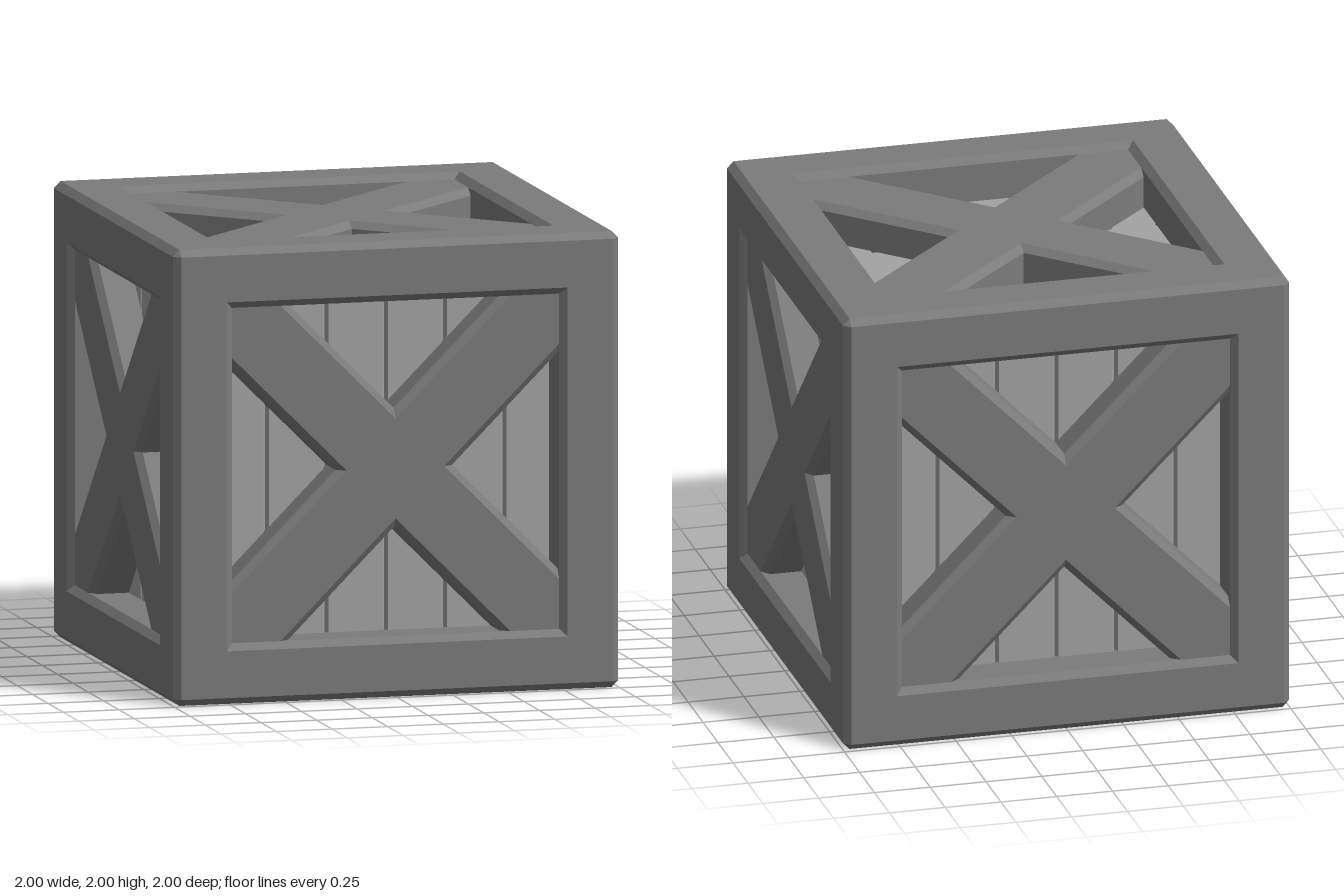
import * as THREE from 'three';

const CHAMFER = 0.03;   // chamfer on frame and braces
const INNER = 0.735;    // half-size of the frame opening
const PANEL = 0.8;      // distance from the centre to the board surface

const beamMaterial = new THREE.MeshStandardMaterial({ color: 0x7b7b7b, flatShading: true });
const boardMaterial = new THREE.MeshStandardMaterial({ color: 0xa3a3a3, flatShading: true });

function part(name, geometry, material) {
  const geo = geometry.index ? geometry.toNonIndexed() : geometry;
  geo.computeVertexNormals();
  const mesh = new THREE.Mesh(geo, material);
  mesh.name = name;
  return mesh;
}

// Square picture-frame ring: face, inner bevel, inner wall
function frameGeometry() {
  const profile = [
    [1 - CHAMFER, 1],
    [INNER + CHAMFER, 1],
    [INNER, 1 - CHAMFER],
    [INNER, PANEL - 0.02],
  ].map(([half, y]) => new THREE.Vector2(half * Math.SQRT2, y));
  return new THREE.LatheGeometry(profile, 4, Math.PI / 4);
}

// Chamfer strip along x, at the top front edge
function edgeGeometry() {
  const mid = 1 - CHAMFER / 2;
  return new THREE.PlaneGeometry(2 - 2 * CHAMFER, CHAMFER * Math.SQRT2)
    .rotateX(-Math.PI / 4).translate(0, mid, mid);
}

// Small triangle that cuts off the corner at +x +y +z
function cornerGeometry() {
  const c = 1 - CHAMFER;
  return new THREE.BufferGeometry().setFromPoints([
    new THREE.Vector3(1, c, c), new THREE.Vector3(c, 1, c), new THREE.Vector3(c, c, 1),
  ]);
}

// X-shaped brace with chamfered edges, its ends buried in the frame
function braceGeometry() {
  const w = 0.185, end = 1.08;
  const shape = new THREE.Shape();
  for (let i = 0; i < 4; i++) {
    const a = Math.PI / 4 + i * Math.PI / 2, c = Math.cos(a), s = Math.sin(a);
    [[w, -w], [end, -w], [end, w]].forEach(([u, v], j) => {
      const x = u * c - v * s, y = u * s + v * c;
      if (i === 0 && j === 0) shape.moveTo(x, y);
      else shape.lineTo(x, y);
    });
  }
  shape.closePath();
  const bottom = PANEL - 0.01;
  const geo = new THREE.ExtrudeGeometry(shape, {
    depth: 1 - 2 * CHAMFER - bottom, bevelEnabled: true, bevelSegments: 1,
    bevelThickness: CHAMFER, bevelSize: CHAMFER, bevelOffset: -CHAMFER,
  });
  return geo.translate(0, 0, bottom).rotateX(-Math.PI / 2);
}

// Six boards along x, separated by V grooves
function boardsGeometry() {
  const half = 0.78, pitch = 1.6 / 6, groove = 0.012;
  const shape = new THREE.Shape();
  shape.moveTo(-half, PANEL - 0.05);
  shape.lineTo(half, PANEL - 0.05);
  shape.lineTo(half, PANEL);
  for (let i = 2; i >= -2; i--) {
    shape.lineTo(i * pitch + groove, PANEL);
    shape.lineTo(i * pitch, PANEL - 0.02);
    shape.lineTo(i * pitch - groove, PANEL);
  }
  shape.lineTo(-half, PANEL);
  shape.closePath();
  const geo = new THREE.ExtrudeGeometry(shape, { depth: 2 * half, bevelEnabled: false });
  return geo.translate(0, 0, -half).rotateY(Math.PI / 2);
}

export function createModel() {
  const crate = new THREE.Group();
  crate.name = 'crate';
  const body = new THREE.Group();
  body.name = 'crateBody';
  body.position.y = 1;
  crate.add(body);
  const q = Math.PI / 2;

  // Every side is built facing up, then turned into place
  const frame = frameGeometry(), brace = braceGeometry(), boards = boardsGeometry();
  const sides = [
    ['top', 0, 0, 0],
    ['bottom', Math.PI, 0, 0],
    ['left', 0, 0, -q],
    ['back', 0, q, -q],
    ['right', 0, 2 * q, -q],
    ['front', 0, 3 * q, -q],
  ];
  for (const [name, rx, ry, rz] of sides) {
    const side = new THREE.Group();
    side.name = name + 'Side';
    side.add(
      part('frame', frame, beamMaterial),
      part('crossBrace', brace, beamMaterial),
      part('boards', boards, boardMaterial),
    );
    side.rotation.set(rx, ry, rz);
    body.add(side);
  }

  // Chamfered edges along x, z and y, and the eight cut corners
  for (let k = 0; k < 4; k++) {
    body.add(
      part('edgeAlongX', edgeGeometry().rotateX(k * q), beamMaterial),
      part('edgeAlongZ', edgeGeometry().rotateX(k * q).rotateY(q), beamMaterial),
      part('edgeAlongY', edgeGeometry().rotateX(k * q).rotateZ(q), beamMaterial),
      part('topCorner', cornerGeometry().rotateY(k * q), beamMaterial),
      part('bottomCorner', cornerGeometry().rotateY(k * q).rotateX(Math.PI), beamMaterial),
    );
  }
  return crate;
}
